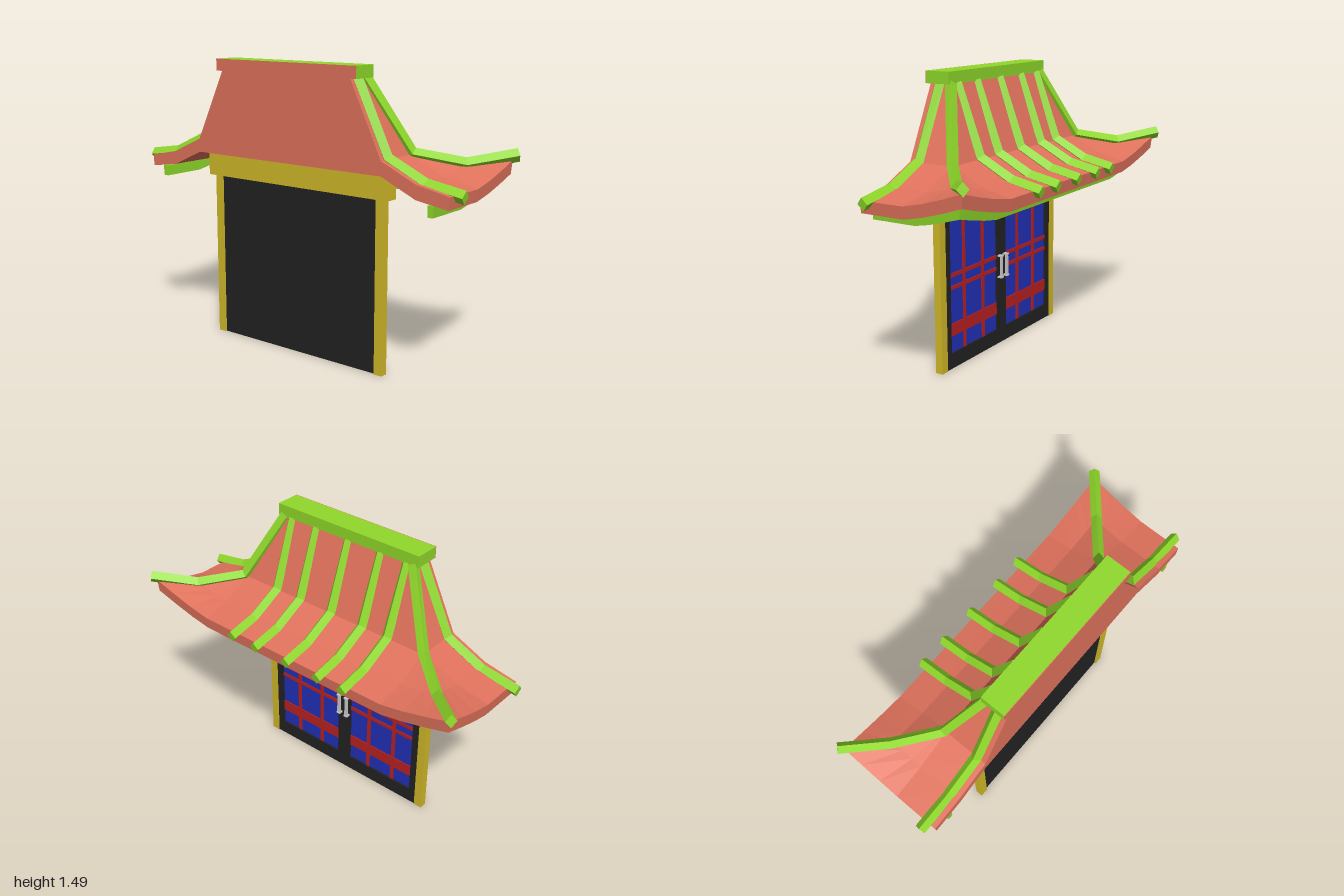
import * as THREE from 'three';

const paint = (color, side = THREE.FrontSide) =>
  new THREE.MeshStandardMaterial({ color, side, flatShading: true });
const MAT = {
  tile: paint(0xe0725c, THREE.DoubleSide),
  trim: paint(0x8fd82a, THREE.DoubleSide),
  timber: paint(0xd0b828),
  door: paint(0x222222),
  panel: paint(0x2030b8),
  lattice: paint(0xb82020),
  metal: paint(0xcccccc),
};
const FRONT = 0.3;

function add(parent, name, geometry, material) {
  const mesh = new THREE.Mesh(geometry, material);
  mesh.name = name;
  parent.add(mesh);
  return mesh;
}

// Box given by its limits on each axis
function block(parent, name, material, x0, x1, y0, y1, z0, z1) {
  const mesh = add(parent, name, new THREE.BoxGeometry(x1 - x0, y1 - y0, z1 - z0), material);
  mesh.position.set((x0 + x1) / 2, (y0 + y1) / 2, (z0 + z1) / 2);
  return mesh;
}

// Skin a list of rows that all have the same number of points
function loft(rows) {
  const n = rows[0].length, index = [];
  for (let r = 0; r < rows.length - 1; r++) {
    for (let i = 0; i < n - 1; i++) {
      const a = r * n + i, b = a + n;
      index.push(a, b, a + 1, a + 1, b, b + 1);
    }
  }
  const geometry = new THREE.BufferGeometry();
  geometry.setAttribute('position', new THREE.Float32BufferAttribute(rows.flat(2), 3));
  geometry.setIndex(index);
  const flat = geometry.toNonIndexed();
  flat.computeVertexNormals();
  return flat;
}

// U-shaped contour round the left, back and right, with lifted corners
function contour([halfX, y, backZ, lift]) {
  const half = [[halfX, y, FRONT]];
  const steps = [0, 0.33, 0.67, 1];
  const straightZ = Math.max(0.06, backZ), straightX = Math.min(0.57, halfX);
  const rise = (t) => y + lift * Math.pow(t, 1.25);
  for (const t of steps) half.push([halfX, rise(t), THREE.MathUtils.lerp(straightZ, backZ, t)]);
  for (const t of [...steps].reverse().slice(1)) {
    half.push([THREE.MathUtils.lerp(straightX, halfX, t), rise(t), backZ]);
  }
  return [...half, ...half.map(([x, py, z]) => [-x, py, z]).reverse()];
}

// Flat face on the front plane from [x, y] corners
function frontFace(points) {
  const shape = new THREE.Shape(points.map(([x, y]) => new THREE.Vector2(x, y)));
  return new THREE.ShapeGeometry(shape).translate(0, 0, FRONT);
}

// Diamond-section rib swept along a few points, closed at the ends
function rib(parent, name, path) {
  const pts = path.map((p) => new THREE.Vector3(...p));
  const up = new THREE.Vector3(0, 1, 0);
  const rows = pts.map((p, i) => {
    const before = p.clone().sub(pts[Math.max(i - 1, 0)]).normalize();
    const after = pts[Math.min(i + 1, pts.length - 1)].clone().sub(p).normalize();
    const along = before.add(after).normalize();
    const side = along.clone().cross(up).normalize();
    const normal = side.clone().cross(along);
    return [[1, 0], [0, 1], [-1, 0], [0, -1], [1, 0]].map(([u, v]) =>
      p.clone().addScaledVector(side, u * 0.028).addScaledVector(normal, v * 0.033).toArray());
  });
  const cap = (p) => Array(5).fill(p.toArray());
  add(parent, name, loft([cap(pts[0]), ...rows, cap(pts[pts.length - 1])]), MAT.trim);
}

function buildRoof() {
  const roof = new THREE.Group();
  roof.name = 'roof';

  // Tiled shell: outside from ridge to eave, fascia, then the underside
  const levels = [
    [0.4, 1.44, 0.18, 0], [0.58, 1.07, 0.05, 0], [0.77, 0.985, -0.11, 0.035], [0.945, 0.95, -0.26, 0.09],
    [0.94, 0.89, -0.255, 0.085], [0.77, 0.915, -0.11, 0.035], [0.58, 1.0, 0.05, 0],
  ];
  add(roof, 'roofShell', loft(levels.map(contour)), MAT.tile);
  const outline = levels.map(([x, y]) => [x, y]);
  add(roof, 'frontGable', frontFace([...outline, ...outline.map(([x, y]) => [-x, y]).reverse()]), MAT.tile);
  const ceiling = add(roof, 'ceiling', new THREE.PlaneGeometry(1.16, 0.25), MAT.tile);
  ceiling.rotation.x = Math.PI / 2;
  ceiling.position.set(0, 1.0, 0.175);

  // Ridge beam with a tiled front
  block(roof, 'ridgeBeam', MAT.trim, -0.44, 0.44, 1.43, 1.49, 0.17, 0.302);
  block(roof, 'ridgeFront', MAT.tile, -0.44, 0.44, 1.43, 1.49, 0.302, 0.305);

  // Ribs down the back slope
  for (const x of [-0.365, -0.21, -0.01, 0.195, 0.355]) {
    rib(roof, 'backRib', [[x, 1.43, 0.185], [x, 1.075, 0.05], [x, 0.98, -0.13], [x, 0.945, -0.295]]);
  }
  // Hip and side ribs
  for (const s of [-1, 1]) {
    rib(roof, 'hipRib', [[s * 0.4, 1.43, 0.185], [s * 0.582, 1.075, 0.05],
      [s * 0.78, 1.023, -0.115], [s * 0.965, 1.065, -0.28]]);
    rib(roof, 'sideRib', [[s * 0.4, 1.44, 0.247], [s * 0.582, 1.073, 0.247],
      [s * 0.79, 0.977, 0.247], [s * 0.99, 0.945, 0.247]]);
  }

  // Trim band under the eaves
  const band = [[0.865, 0.9, -0.19, 0.065], [0.86, 0.845, -0.185, 0.06],
    [0.833, 0.845, -0.163, 0.06], [0.833, 0.9, -0.163, 0.065]];
  add(roof, 'eaveBand', loft([...band, band[0]].map(contour)), MAT.trim);
  for (const s of [-1, 1]) {
    add(roof, 'eaveBandEnd', frontFace(band.map(([x, y]) => [s * x, y])), MAT.trim);
  }
  return roof;
}

// One door leaf: dark frame, panel, lattice and handle on the back; s is the side
function buildLeaf(s) {
  const leaf = new THREE.Group();
  leaf.name = s > 0 ? 'leftDoor' : 'rightDoor';
  const bar = (name, material, a, b, y0, y1, z0, z1) =>
    block(leaf, name, material, Math.min(s * a, s * b), Math.max(s * a, s * b), y0, y1, z0, z1);
  const inner = 0.042, outer = 0.458, low = 0.08, high = 0.8;

  bar('doorBoard', MAT.door, 0.001, 0.5, 0, 0.87, 0.187, 0.2);
  bar('innerStile', MAT.door, 0.001, inner, 0, 0.87, 0.173, 0.187);
  bar('outerStile', MAT.door, outer, 0.5, 0, 0.87, 0.173, 0.187);
  bar('bottomRail', MAT.door, inner, outer, 0, low, 0.173, 0.187);
  bar('topRail', MAT.door, inner, outer, high, 0.87, 0.173, 0.187);
  bar('panel', MAT.panel, inner, outer, low, high, 0.183, 0.187);

  for (const [y, h] of [[0.2, 0.065], [0.42, 0.02], [0.485, 0.02]]) {
    bar('crossBar', MAT.lattice, inner, outer, y - h / 2, y + h / 2, 0.177, 0.183);
  }
  for (const t of [0.3, 0.7]) {
    const x = THREE.MathUtils.lerp(inner, outer, t);
    bar('uprightBar', MAT.lattice, x - 0.011, x + 0.011, low, high, 0.178, 0.183);
  }

  // Pull handle
  bar('handleGrip', MAT.metal, 0.016, 0.034, 0.37, 0.495, 0.151, 0.16);
  for (const y of [0.37, 0.487]) bar('handleMount', MAT.metal, 0.013, 0.037, y, y + 0.008, 0.147, 0.173);
  return leaf;
}

export function createModel() {
  const gate = new THREE.Group();
  gate.name = 'gateway';
  gate.add(buildRoof());

  // Doorway sits slightly off the roof's centre line
  const doorway = new THREE.Group();
  doorway.name = 'doorway';
  doorway.position.x = -0.01;
  for (const s of [-1, 1]) {
    const x = s * 0.522;
    block(doorway, 'post', MAT.timber, x - 0.023, x + 0.023, 0, 0.88, 0.169, 0.209);
    doorway.add(buildLeaf(s));
  }
  block(doorway, 'lintel', MAT.timber, -0.577, 0.577, 0.87, 0.99, 0.155, 0.225);
  gate.add(doorway);
  return gate;
}
